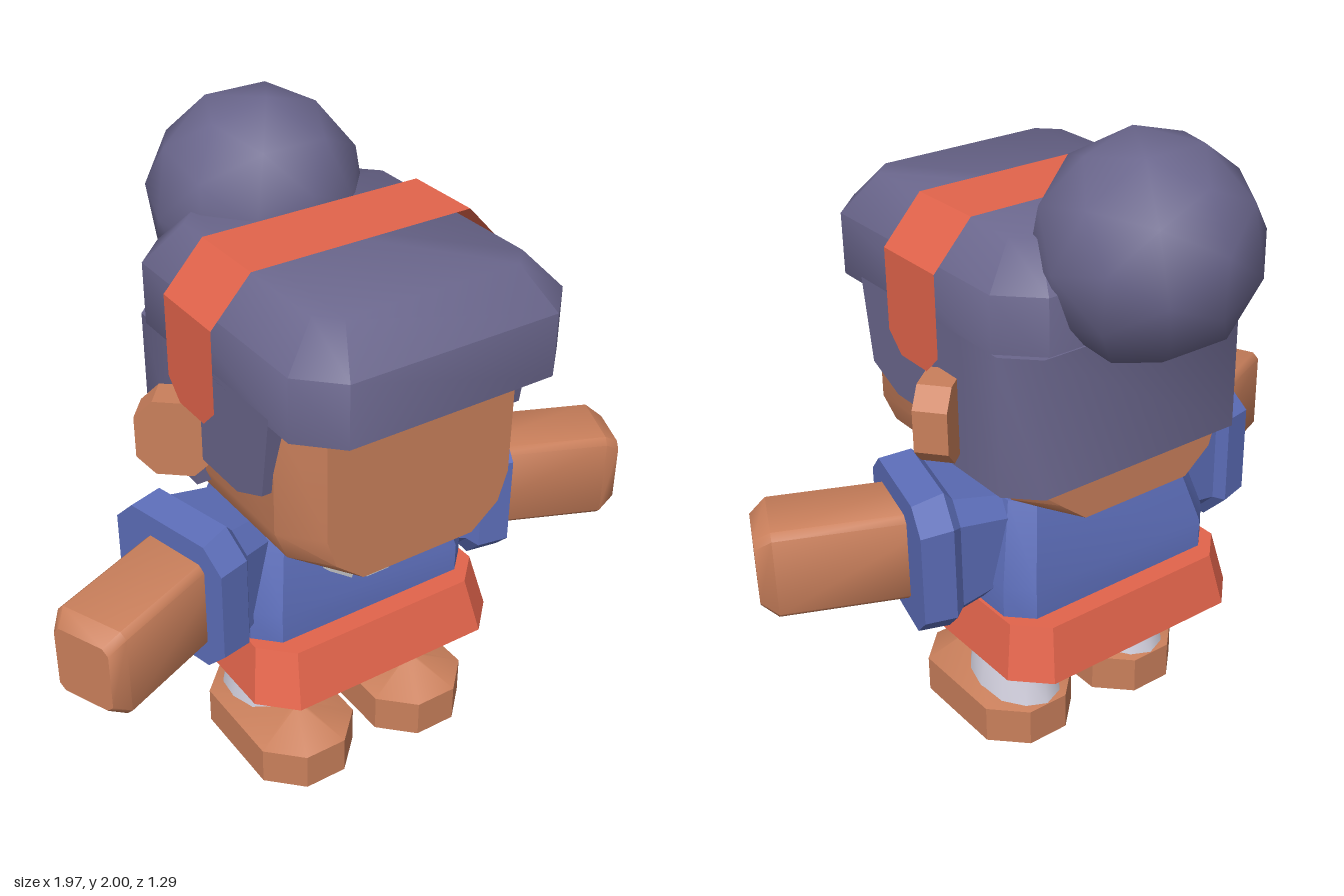
import * as THREE from 'three';
import { toCreasedNormals } from 'three/addons/utils/BufferGeometryUtils.js';

const mat = (name, color, side = THREE.FrontSide) => {
  const m = new THREE.MeshStandardMaterial({ color, side });
  m.name = name;
  return m;
};

// Rectangle outline with chamfered corners
function oct(u0, u1, v0, v1, c) {
  return [[u0 + c, v0], [u1 - c, v0], [u1, v0 + c], [u1, v1 - c],
    [u1 - c, v1], [u0 + c, v1], [u0, v1 - c], [u0, v0 + c]];
}
// Ellipse outline
function oval(cu, cv, ru, rv, n = 12) {
  return Array.from({ length: n }, (_, i) => {
    const a = (i / n) * Math.PI * 2;
    return [cu + ru * Math.cos(a), cv + rv * Math.sin(a)];
  });
}

// Closed skin over outlines stacked along an axis; sections are [height, outline]
function loft(axis, sections, crease = 0.5) {
  const place = {
    x: (u, v, h) => [h, v, u],
    y: (u, v, h) => [u, h, v],
    z: (u, v, h) => [u, v, h],
  }[axis];
  const n = sections[0][1].length;
  const pos = sections.flatMap(([h, ring]) => ring.flatMap(([u, v]) => place(u, v, h)));
  const idx = [];
  for (let s = 0; s < sections.length - 1; s++) {
    for (let i = 0; i < n; i++) {
      const a = s * n + i, b = s * n + (i + 1) % n;
      idx.push(a, b, b + n, a, b + n, a + n);
    }
  }
  const top = (sections.length - 1) * n;
  for (let i = 1; i < n - 1; i++) idx.push(0, i + 1, i, top, top + i, top + i + 1);
  // The x and z axes keep or reverse handedness differently from y
  if (axis !== 'z') idx.reverse();
  const g = new THREE.BufferGeometry();
  g.setAttribute('position', new THREE.Float32BufferAttribute(pos, 3));
  g.setIndex(idx);
  return toCreasedNormals(g, crease);
}

export function createModel() {
  const root = new THREE.Group();
  const hair = mat('hair purple', 0x6a668c);
  const skin = mat('skin tan', 0xc97f5b);
  const blue = mat('shirt blue', 0x5c6db8);
  const red = mat('coral red', 0xe2644b);
  const bandRed = mat('band coral', 0xe2644b, THREE.DoubleSide);
  const white = mat('sock white', 0xd2d0de);
  const silver = mat('bead silver', 0xb4b4b6);

  const add = (name, geo, material, parent = root) => {
    const m = new THREE.Mesh(geo, material);
    m.name = name;
    parent.add(m);
    return m;
  };
  const group = (name, x, y, z) => {
    const g = new THREE.Group();
    g.name = name;
    g.position.set(x, y, z);
    root.add(g);
    return g;
  };

  // Head: rounded jaw section, narrowed at front and back
  const jaw = (k) => [[-0.41, 1.5], [-0.41, 1.06], [-0.37, 0.965], [-0.25, 0.89],
    [0.25, 0.89], [0.37, 0.965], [0.41, 1.06], [0.41, 1.5]].map(([x, y]) => [x * k, y]);
  add('head', loft('z', [[-0.31, jaw(0.76)], [-0.2, jaw(1)], [0.41, jaw(1)], [0.52, jaw(0.76)]]), skin);

  // Hair: cap with fringe, back panel, side locks and bun
  const capRing = oct(-0.44, 0.44, -0.33, 0.645, 0.11);
  add('hairCap', loft('y', [[1.43, capRing], [1.62, capRing],
    [1.735, oct(-0.335, 0.335, -0.22, 0.54, 0.06)]], 0.85), hair);
  const backRing = oct(-0.44, 0.44, -0.335, 0.04, 0.09).map(([x, z]) => [z > -0.1 ? Math.sign(x) * 0.44 : x, z]);
  add('hairBack', loft('y', [[1.02, backRing], [1.45, backRing]], 0.85), hair);
  const lock = new THREE.Shape([[0, 1.13], [0.27, 1.13], [0.4, 1.19], [0.44, 1.45], [0, 1.45]]
    .map(([z, y]) => new THREE.Vector2(z, y)));
  for (const s of [1, -1]) {
    const geo = new THREE.ExtrudeGeometry(lock, { depth: 0.06, bevelEnabled: false });
    geo.rotateY(-Math.PI / 2);
    add(s > 0 ? 'leftSideLock' : 'rightSideLock', geo, hair).position.x = s > 0 ? 0.44 : -0.38;
  }
  const bun = add('hairBun', new THREE.IcosahedronGeometry(0.325, 1), hair);
  bun.position.set(0, 1.68, -0.33);
  bun.rotation.x = 0.22;

  // Headband: open strip over the cap with tapered ends
  const path = [[0.48, 1.31, 0.06], [0.48, 1.37, 0], [0.48, 1.62, 0], [0.355, 1.755, 0]];
  const strip = [...path, ...path.map(([x, y, t]) => [-x, y, t]).reverse()];
  const bandPos = strip.flatMap(([x, y, t]) => [x, y, 0.23 - t, x, y, -0.02 + t]);
  const bandIdx = [];
  for (let i = 0; i < strip.length - 1; i++) {
    const a = i * 2;
    bandIdx.push(a, a + 1, a + 3, a, a + 3, a + 2);
  }
  const band = new THREE.BufferGeometry();
  band.setAttribute('position', new THREE.Float32BufferAttribute(bandPos, 3));
  band.setIndex(bandIdx);
  add('headband', toCreasedNormals(band, 0.5), bandRed);

  // Torso and skirt
  add('shirt', loft('y', [
    [0.5, oct(-0.39, 0.39, -0.245, 0.3, 0.07)],
    [0.65, oct(-0.39, 0.39, -0.245, 0.3, 0.07)],
    [0.9, oct(-0.32, 0.32, -0.17, 0.22, 0.06)]]), blue);
  add('skirt', loft('y', [
    [0.385, oct(-0.435, 0.435, -0.35, 0.42, 0.1)],
    [0.555, oct(-0.4, 0.4, -0.31, 0.365, 0.09)]]), red);

  // Neckline and bead necklace lying on the sloped chest
  const chest = group('neckline', 0, 0.8, 0.254);
  chest.rotation.x = -0.31;
  const vee = new THREE.Shape([new THREE.Vector2(-0.11, 0.1), new THREE.Vector2(0, 0), new THREE.Vector2(0.11, 0.1)]);
  add('openCollar', new THREE.ExtrudeGeometry(vee, { depth: 0.008, bevelEnabled: false }), skin, chest);
  for (const deg of [-68, -34, 0, 34, 68]) {
    const a = deg * Math.PI / 180;
    const bead = add('bead', new THREE.BoxGeometry(0.08, 0.075, 0.05), silver, chest);
    bead.position.set(0.185 * Math.sin(a), 0.105 - 0.185 * Math.cos(a), 0.015);
    bead.rotation.z = a;
  }

  for (const s of [1, -1]) {
    const side = s > 0 ? 'left' : 'right';

    // Ear: thick octagonal plate turned outwards
    const ear = group(side + 'Ear', s * 0.47, 1.19, -0.01);
    ear.rotation.y = s * 0.7;
    const plate = oct(-0.11, 0.11, -0.12, 0.12, 0.055);
    add(side + 'EarPlate', loft('z', [[-0.05, plate], [0.05, plate]]), skin, ear);

    // Sleeve: flared cuff ending in an octagonal rim
    const sleeve = group(side + 'Sleeve', s * 0.575, 0.745, 0.095);
    sleeve.rotation.y = s > 0 ? -0.24 : Math.PI + 0.24;
    const rim = oct(-0.22, 0.22, -0.215, 0.215, 0.07);
    add(side + 'Cuff', loft('x', [
      [-0.32, oct(-0.15, 0.15, -0.15, 0.15, 0.05)],
      [-0.13, oct(-0.19, 0.19, -0.195, 0.195, 0.06)],
      [-0.1, oct(-0.22, 0.22, -0.23, 0.23, 0.08)],
      [0, rim]]), blue, sleeve);

    // Arm: block with a bevelled hand end, angled forwards
    const arm = group(side + 'Arm', s * 0.575, 0.745, 0.125);
    arm.rotation.y = s > 0 ? -0.408 : Math.PI + 0.408;
    const block = oct(-0.12, 0.12, -0.145, 0.145, 0.02);
    add(side + 'Hand', loft('x', [[-0.15, block], [0.355, block],
      [0.405, oct(-0.095, 0.095, -0.11, 0.11, 0.02)]], 0.85), skin, arm);

    // Leg, sock and shoe
    const cx = s * 0.215;
    add(side + 'Leg', loft('y', [
      [0.24, oval(cx, 0.035, 0.105, 0.165)],
      [0.42, oval(cx, 0.035, 0.108, 0.182)]], 0.9), hair);
    add(side + 'Sock', loft('y', [
      [0.12, oval(cx, 0.025, 0.135, 0.178)],
      [0.24, oval(cx, 0.035, 0.108, 0.167)]], 0.9), white);
    const sole = oct(cx - 0.17, cx + 0.17, -0.155, 0.375, 0.1);
    add(side + 'Shoe', loft('y', [[0, sole], [0.125, sole],
      [0.205, oct(cx - 0.015, cx + 0.015, 0.2, 0.24, 0.01)]]), skin);
  }
  return root;
}
